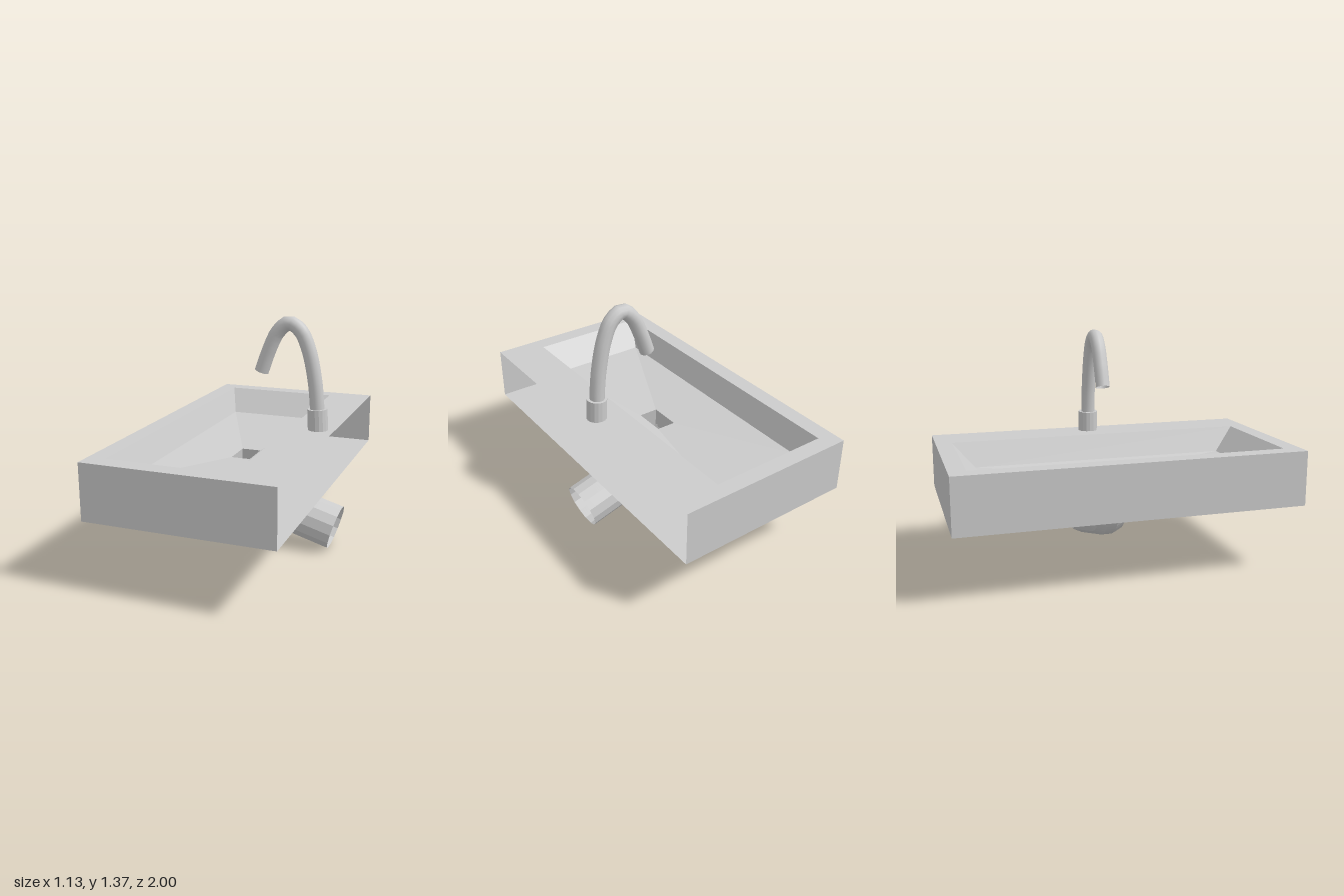
import * as THREE from 'three';

const flat = new THREE.MeshStandardMaterial({ color: 0xcccccc, side: THREE.DoubleSide, flatShading: true });
const smooth = new THREE.MeshStandardMaterial({ color: 0xcccccc, side: THREE.DoubleSide });

// Horizontal rectangle, corners counter-clockwise from above, starting front left
const rect = (x0, x1, z0, z1, y) => [[x0, y, z1], [x1, y, z1], [x1, y, z0], [x0, y, z0]];

// Quads joining consecutive rectangles; sides: 0 front, 1 +x, 2 back, 3 -x
function loft(rings, sides = [0, 1, 2, 3]) {
  const pos = [];
  for (let r = 0; r < rings.length - 1; r++) {
    for (const i of sides) {
      const j = (i + 1) % 4;
      const [a, b, c, d] = [rings[r][i], rings[r][j], rings[r + 1][j], rings[r + 1][i]];
      pos.push(...a, ...b, ...c, ...a, ...c, ...d);
    }
  }
  const g = new THREE.BufferGeometry();
  g.setAttribute('position', new THREE.Float32BufferAttribute(pos, 3));
  g.computeVertexNormals();
  return g;
}

export function createModel() {
  const model = new THREE.Group();
  const add = (name, geometry, material = flat) => {
    const mesh = new THREE.Mesh(geometry, material);
    mesh.name = name;
    model.add(mesh);
    return mesh;
  };

  // Sink shell
  const top = rect(-0.567, 0.5, -1, 1, 0.724);
  const base = rect(-0.567, 0.5, -1, 1, 0.403);
  const rim = rect(-0.47, 0.236, -0.905, 0.9, 0.724);
  const floorEdge = rect(-0.41, 0.173, -0.778, 0.772, 0.58);
  const drainTop = rect(-0.095, 0.02, -0.097, 0.088, 0.535);
  const drainBottom = rect(-0.11, 0.04, -0.125, 0.112, 0.403);
  add('deck', loft([top, rim]));
  add('basinWalls', loft([rim, floorEdge]));
  add('basinFloor', loft([floorEdge, drainTop]));
  add('drain', loft([drainTop, drainBottom]));
  add('underside', loft([drainBottom, base]));
  add('outerWalls', loft([base, top], [0, 2, 3])); // the +x side stays open

  // Waste pipe: short drop, elbow, long sloping run
  const pipe = new THREE.CurvePath();
  const v = (x, y, z) => new THREE.Vector3(x, y, z);
  const pz = -0.02;
  const start = v(-0.036, 0.42, pz), bendIn = v(-0.036, 0.385, pz), corner = v(-0.03, 0.292, pz);
  const bendOut = v(0.06, 0.266, pz), end = v(0.525, 0.133, pz);
  pipe.add(new THREE.LineCurve3(start, bendIn));
  pipe.add(new THREE.QuadraticBezierCurve3(bendIn, corner, bendOut));
  pipe.add(new THREE.LineCurve3(bendOut, end));
  add('wastePipe', new THREE.TubeGeometry(pipe, 48, 0.134, 14), flat);

  // Arched spout
  const fz = -0.027;
  const arch = [[0.395, 0.82], [0.392, 0.87], [0.375, 1.02], [0.336, 1.19], [0.285, 1.295],
    [0.217, 1.334], [0.15, 1.28], [0.097, 1.17], [0.053, 1.045]];
  const spoutPath = new THREE.CatmullRomCurve3(arch.map(([x, y]) => v(x, y, fz)));
  add('spout', new THREE.TubeGeometry(spoutPath, 28, 0.043, 12), smooth);

  // Slightly leaning collar with a closed top, open below
  const collarProfile = [[0.059, -0.068], [0.059, 0.065], [0.059, 0.065], [0.03, 0.065]];
  const collar = add('collar', new THREE.LatheGeometry(
    collarProfile.map(([x, y]) => new THREE.Vector2(x, y)), 16), flat);
  collar.position.set(0.398, 0.782, fz);
  collar.rotation.z = 0.05;

  return model;
}
